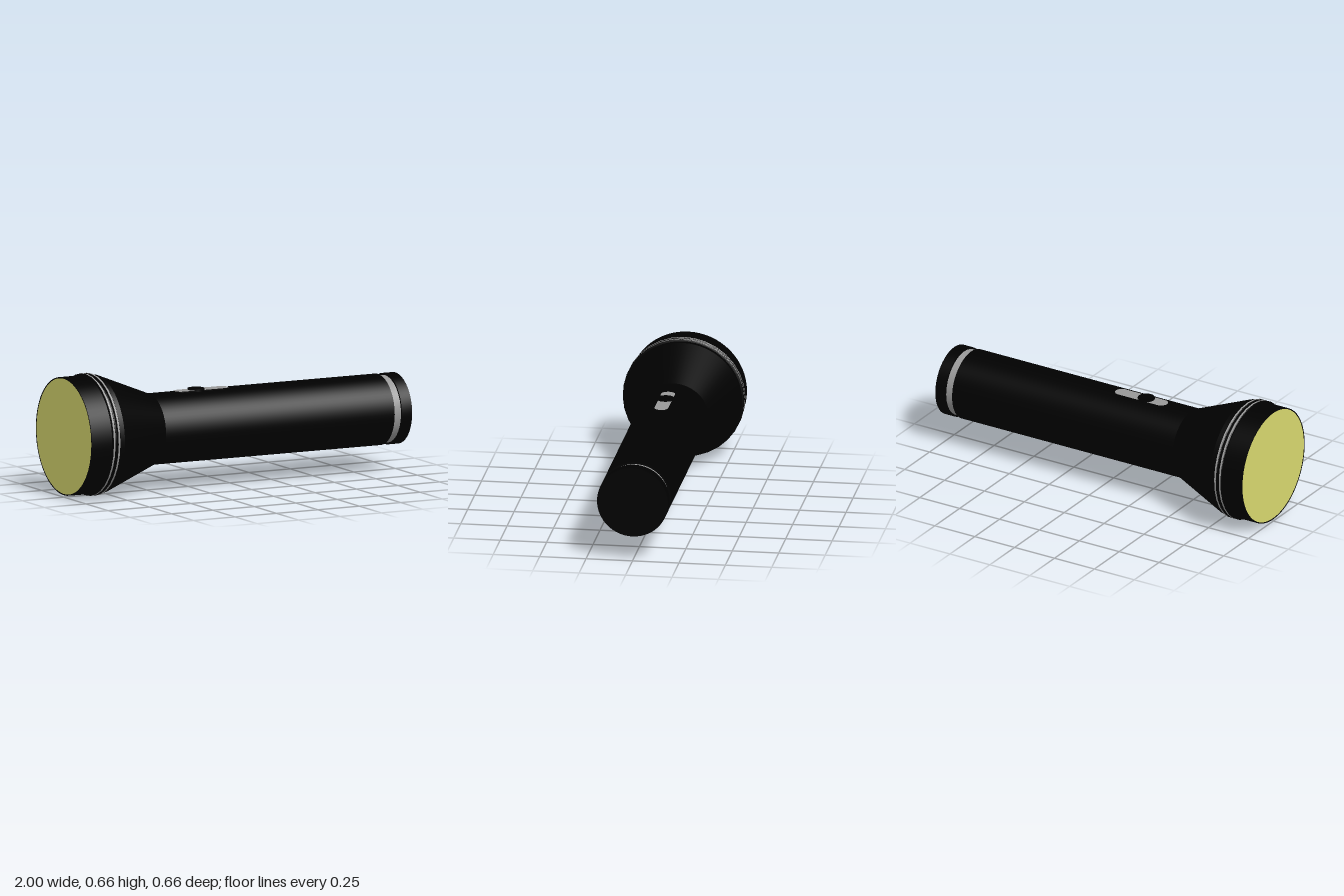
import * as THREE from 'three';
import { toCreasedNormals } from 'three/addons/utils/BufferGeometryUtils.js';

const AXIS_Y = 0.3275; // height of the torch's long axis

export function createModel() {
  const group = new THREE.Group();
  const black = new THREE.MeshStandardMaterial({ color: 0x000000 });
  black.name = 'blackCasing';
  const silver = new THREE.MeshStandardMaterial({ color: 0x999999 });
  silver.name = 'silverTrim';
  const yellow = new THREE.MeshStandardMaterial({ color: 0xdbdb70 });
  yellow.name = 'yellowLens';

  function add(name, geometry, material) {
    const mesh = new THREE.Mesh(geometry, material);
    mesh.name = name;
    group.add(mesh);
    return mesh;
  }

  // Turned part about the x axis; profile is [x, radius] running from +x to -x
  function turned(name, profile, material, sides = 64, twist = 0) {
    const points = profile.map(([x, r]) => new THREE.Vector2(r, -x));
    let geometry = new THREE.LatheGeometry(points, sides);
    geometry.rotateZ(Math.PI / 2);
    geometry.rotateX(twist);
    geometry = toCreasedNormals(geometry, 0.35);
    geometry.translate(0, AXIS_Y, 0);
    return add(name, geometry, material);
  }

  // Handle, flared head and rim in one shell
  turned('casing', [
    [0.895, 0], [0.895, 0.191], [-0.485, 0.191], [-0.8, 0.317],
    [-1, 0.317], [-1, 0.311], [-0.99, 0.311],
  ], black);

  // Tail cap with the silver collar in front of it
  turned('tailCollar', [[0.945, 0.181], [0.89, 0.181]], silver, 32);
  turned('tailCap', [[1, 0], [1, 0.191], [0.938, 0.191], [0.938, 0]], black);

  // Two beads around the head, each with a fine silver line on its crest
  for (const x of [-0.867, -0.838]) {
    turned('headBead', [
      [x + 0.011, 0.314], [x + 0.008, 0.324], [x + 0.005, 0.327],
      [x - 0.005, 0.327], [x - 0.008, 0.324], [x - 0.011, 0.314],
    ], black, 32, 0.03);
    turned('beadLine', [[x + 0.005, 0.3278], [x - 0.005, 0.3278]], silver, 32, 0.03);
  }

  // Lens closing the head
  const lens = add('lens', new THREE.CircleGeometry(0.3125, 64), yellow);
  lens.rotation.y = -Math.PI / 2;
  lens.position.set(-0.999, AXIS_Y, 0);

  // Switch track: a rounded plate on the handle, silver face and black edge
  const half = 0.123, r = 0.037;
  const track = new THREE.Shape();
  track.absarc(half, 0, r, -Math.PI / 2, Math.PI / 2, false);
  track.absarc(-half, 0, r, Math.PI / 2, Math.PI * 1.5, false);
  track.closePath();
  const plate = new THREE.ExtrudeGeometry(track, { depth: 0.009, bevelEnabled: false, curveSegments: 16 });
  plate.rotateX(-Math.PI / 2);
  plate.translate(-0.173, 0.5115, 0.002);
  add('switchTrack', plate, [silver, black]);

  // Sliding switch button
  const button = new THREE.CylinderGeometry(0.046, 0.046, 0.025, 24);
  button.translate(-0.203, 0.5155, 0.002);
  add('switchButton', button, black);

  return group;
}
